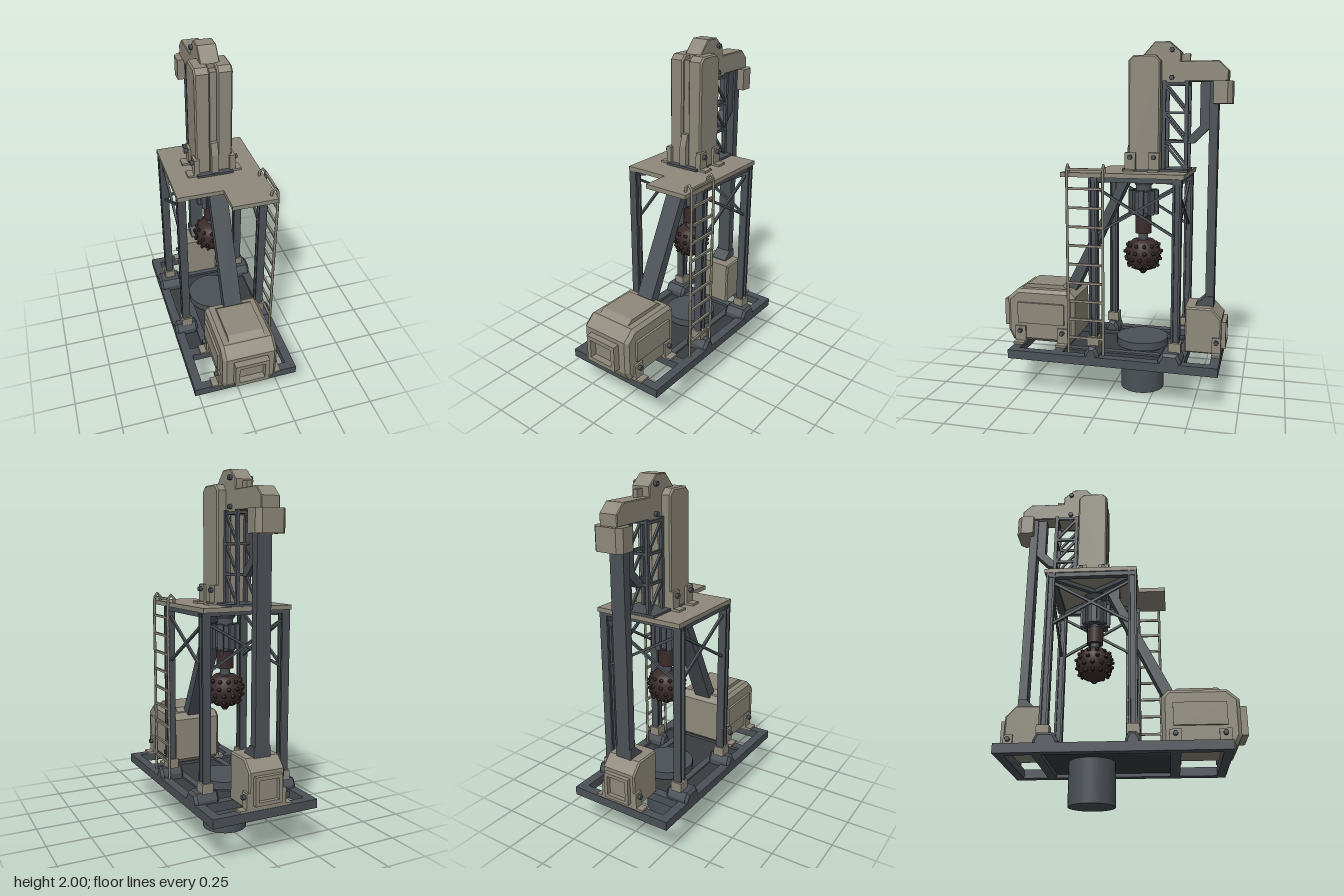
import * as THREE from 'three';

const mat = (name, color) => Object.assign(new THREE.MeshStandardMaterial({ color, side: THREE.DoubleSide }), { name });
const WELL_Z = -0.167;

export function createModel() {
  const beige = mat('beige paint', 0x8e897b);
  const slate = mat('slate steel', 0x4b5157);
  const floor = mat('floor plate', 0x383c40);
  const brown = mat('drill brown', 0x3a2c2b);
  const model = new THREE.Group();
  model.name = 'drillRig';

  const add = (name, geo, m, parent = model) => {
    const mesh = new THREE.Mesh(geo, m);
    mesh.name = name;
    parent.add(mesh);
    return mesh;
  };
  // box given by its limits on each axis
  const box = (name, m, x0, x1, y0, y1, z0, z1) => {
    const b = add(name, new THREE.BoxGeometry(Math.abs(x1 - x0), y1 - y0, Math.abs(z1 - z0)), m);
    b.position.set((x0 + x1) / 2, (y0 + y1) / 2, (z0 + z1) / 2);
    return b;
  };
  const mirrorBox = (name, m, x0, x1, ...rest) => {
    box(name, m, x0, x1, ...rest);
    box(name, m, -x0, -x1, ...rest);
  };
  // (z, y) outline extruded across x, optionally with chamfered side edges
  const profile = (name, m, x0, x1, pts, chamfer = 0) => {
    const shape = new THREE.Shape(pts.map(p => new THREE.Vector2(...p)));
    const g = new THREE.ExtrudeGeometry(shape, {
      depth: x1 - x0 - 2 * chamfer, bevelEnabled: chamfer > 0, bevelSegments: 1,
      bevelThickness: chamfer, bevelSize: chamfer, bevelOffset: -chamfer,
    });
    g.rotateY(-Math.PI / 2).translate(x1 - chamfer, 0, 0);
    return add(name, g, m);
  };
  // square bar between two points
  const bar = (name, m, a, b, w, d = w) => {
    const p = new THREE.Vector3(...a), q = new THREE.Vector3(...b);
    const mesh = add(name, new THREE.BoxGeometry(w, d, p.distanceTo(q)), m);
    mesh.position.copy(p).add(q).multiplyScalar(0.5);
    mesh.lookAt(q);
    return mesh;
  };
  const cyl = (name, m, r, y0, y1, sides = 32, rTop = r) => {
    const c = add(name, new THREE.CylinderGeometry(rTop, r, y1 - y0, sides), m);
    c.position.set(0, (y0 + y1) / 2, WELL_Z);
    return c;
  };
  const bolts = (x, y, z) => {
    for (const s of [1, -1]) {
      const b = add('bolt', new THREE.CylinderGeometry(0.014, 0.014, 0.025, 6), slate);
      b.rotation.z = Math.PI / 2;
      b.position.set(s * x, y, z);
    }
  };
  // mounting foot: ground pad, upright tab and bolt on both sides
  const feet = (x, y, z, w, h) => {
    mirrorBox('footPad', beige, x - 0.02, x + 0.05, y, y + 0.012, z - w / 2, z + w / 2);
    mirrorBox('footTab', beige, x - 0.02, x + 0.012, y, y + h, z - w / 2, z + w / 2);
    bolts(x + 0.018, y + h * 0.75, z);
  };
  // hollow square duct facing along z
  const duct = (name, w, y0, y1, z0, z1, rim) => {
    const s = new THREE.Shape();
    s.moveTo(-w, y0).lineTo(w, y0).lineTo(w, y1).lineTo(-w, y1).closePath();
    const h = new THREE.Path();
    h.moveTo(-w + rim, y0 + rim).lineTo(-w + rim, y1 - rim).lineTo(w - rim, y1 - rim).lineTo(w - rim, y0 + rim).closePath();
    s.holes.push(h);
    add(name, new THREE.ExtrudeGeometry(s, { depth: z1 - z0, bevelEnabled: false }).translate(0, 0, z0), beige);
  };

  // base frame, floor and well pipe
  mirrorBox('baseRail', slate, 0.26, 0.313, 0.215, 0.265, -0.64, 0.565);
  for (const [a, b] of [[-0.64, -0.59], [-0.45, -0.4], [0.25, 0.305], [0.515, 0.565]])
    box('baseCrossBeam', slate, -0.26, 0.26, 0.215, 0.265, a, b);
  box('floorPlate', floor, -0.26, 0.26, 0.235, 0.25, -0.4, 0.25);
  for (const x of [-0.16, 0.16]) box('floorRib', slate, x - 0.02, x + 0.02, 0.235, 0.26, -0.4, 0.25);
  cyl('wellPipe', slate, 0.127, 0, 0.265);
  cyl('wellCollar', slate, 0.152, 0.265, 0.31);

  // legs: footing, shoe, and I-section post
  for (const [z, z0, z1] of [[0.065, 0.025, 0.108], [-0.398, -0.44, -0.31]])
    for (const s of [1, -1]) {
      const f = profile('legFooting', slate, 0.17, 0.313,
        [[z0, 0.25], [z1, 0.25], [z1, 0.28], [z1 - 0.025, 0.32], [z0 + 0.02, 0.32], [z0, 0.28]], 0.015);
      f.scale.x = s;
      box('legShoe', beige, s * 0.205, s * 0.27, 0.315, 0.37, z - 0.034, z + 0.034);
      for (const d of [-0.018, 0.018]) box('legFlange', slate, s * 0.215, s * 0.262, 0.32, 1.27, z + d - 0.006, z + d + 0.006);
      box('legWeb', slate, s * 0.228, s * 0.248, 0.32, 1.27, z - 0.018, z + 0.018);
    }

  // platform with a corner notch, carried on beams
  const deck = new THREE.Shape([[-0.263, 0.435], [0.263, 0.435], [0.263, -0.25], [0, -0.25], [0, -0.09], [-0.263, -0.09]]
    .map(p => new THREE.Vector2(...p)));
  add('platform', new THREE.ExtrudeGeometry(deck, { depth: 0.025, bevelEnabled: false }).rotateX(-Math.PI / 2).translate(0, 1.27, 0), beige);
  mirrorBox('platformBeam', slate, 0.222, 0.255, 1.245, 1.27, -0.42, 0.09);
  box('platformRearBeam', slate, -0.22, 0.22, 1.25, 1.27, -0.42, -0.38);
  for (const s of [1, -1]) for (const z of [0.05, -0.38])
    bar('platformStay', slate, [s * 0.22, 1.25, z], [s * 0.05, 1.25, WELL_Z], 0.025);

  // cross bracing on both sides and the back
  for (const [ya, yb] of [[0.96, 1.21], [1.21, 0.96]]) {
    for (const s of [1, -1]) bar('sideBrace', slate, [s * 0.238, ya, 0.045], [s * 0.238, yb, -0.378], 0.014);
    bar('rearBrace', slate, [-0.22, ya, -0.398], [0.22, yb, -0.398], 0.014);
  }

  // inclined strut from generator to platform
  profile('inclinedStrut', slate, -0.053, 0.053, [[0.3, 0.57], [0.23, 0.57], [-0.095, 1.245], [-0.06, 1.27], [-0.02, 1.27], [-0.02, 1.2]]);

  // ladder with hooked rails
  for (const z of [0.005, 0.208]) {
    const path = new THREE.CatmullRomCurve3([[0.272, 0.265], [0.272, 0.8], [0.272, 1.3], [0.268, 1.325], [0.253, 1.337], [0.238, 1.325], [0.234, 1.29]]
      .map(([x, y]) => new THREE.Vector3(x, y, z)));
    add('ladderRail', new THREE.TubeGeometry(path, 40, 0.008, 6), beige);
  }
  for (let i = 0; i < 10; i++) bar('ladderRung', beige, [0.27, 0.36 + i * 0.106, 0.005], [0.27, 0.36 + i * 0.106, 0.208], 0.013);

  // drive motor hanging under the platform
  cyl('driveMount', slate, 0.05, 1.21, 1.245, 12, 0.07);
  cyl('driveNeck', slate, 0.045, 1.17, 1.27, 16);
  cyl('driveBody', slate, 0.072, 1.05, 1.175, 16);
  for (let i = 0; i < 8; i++) {
    const a = i * Math.PI / 4, c = Math.cos(a), s = Math.sin(a);
    const fin = add('driveFin', new THREE.BoxGeometry(0.03, 0.14, 0.03), slate);
    fin.position.set(c * 0.072, 1.112, WELL_Z + s * 0.072);
    fin.rotation.y = -a;
    if (i % 2) bar('driveRod', slate, [c * 0.055, 1.05, WELL_Z + s * 0.055], [c * 0.035, 0.99, WELL_Z + s * 0.035], 0.009);
  }

  // drill string and studded bit
  cyl('drillChuck', brown, 0.048, 0.93, 1.03, 12);
  cyl('drillShaft', slate, 0.028, 0.86, 1.05, 12);
  const bit = [[0, 0.69], [0.012, 0.69], [0.03, 0.715], [0.06, 0.72], [0.092, 0.755], [0.1, 0.8], [0.1, 0.84], [0.082, 0.87], [0.06, 0.892], [0, 0.892]];
  const head = add('drillBit', new THREE.LatheGeometry(bit.map(p => new THREE.Vector2(...p)), 20), brown);
  head.position.z = WELL_Z;
  for (const [r, y] of [[0.085, 0.742], [0.1, 0.782], [0.104, 0.822], [0.09, 0.862]])
    for (let i = 0; i < 12; i++) {
      const a = (i + (y > 0.8 ? 0.5 : 0)) * Math.PI / 6;
      add('bitStud', new THREE.IcosahedronGeometry(0.013, 0), brown).position.set(r * Math.cos(a), y, WELL_Z + r * Math.sin(a));
    }

  // tower housing: two shells with a groove between
  box('towerBase', slate, -0.105, 0.105, 1.295, 1.308, -0.43, -0.064);
  const tower = [[-0.098, 1.3], [-0.098, 1.9], [-0.125, 1.927], [-0.245, 1.927], [-0.275, 1.895], [-0.275, 1.3]];
  profile('towerShell', beige, 0.02, 0.105, tower, 0.008);
  profile('towerShell', beige, -0.105, -0.02, tower, 0.008);
  box('towerCore', beige, -0.03, 0.03, 1.3, 1.9, -0.265, -0.115);
  profile('towerLatch', beige, -0.02, 0.02, [[-0.12, 1.3], [-0.075, 1.3], [-0.075, 1.42], [-0.095, 1.49], [-0.12, 1.49]]);
  for (const z of [-0.112, -0.245]) feet(0.108, 1.295, z, 0.06, 0.105);

  // lattice mast behind the tower
  for (const s of [1, -1]) {
    const x = s * 0.06;
    for (const z of [-0.29, -0.415]) box('mastPost', slate, x - 0.009, x + 0.009, 1.3, 1.79, z - 0.01, z + 0.01);
    for (let i = 0; i < 3; i++) {
      const y = 1.305 + i * 0.157;
      bar('mastDiagonal', slate, [x, y, -0.415], [x, y + 0.15, -0.29], 0.013);
      bar('mastTie', slate, [x, y + 0.155, -0.29], [x, y + 0.155, -0.415], 0.015);
    }
  }
  for (const y of [1.46, 1.617, 1.775]) bar('mastCrossTie', slate, [-0.06, y, -0.415], [0.06, y, -0.415], 0.015);

  // crown and boom
  profile('crown', beige, -0.053, 0.053,
    [[-0.165, 1.77], [-0.165, 1.925], [-0.235, 2], [-0.315, 2], [-0.378, 1.945], [-0.378, 1.895], [-0.585, 1.895], [-0.637, 1.845], [-0.637, 1.785], [-0.41, 1.785], [-0.385, 1.77]], 0.004);
  box('crownTab', beige, -0.012, 0.012, 1.88, 1.935, -0.425, -0.37);
  for (const y of [1.955, 1.807]) bolts(0.058, y, -0.33);
  const cap = new THREE.Shape([[-0.085, 0.56], [0.085, 0.56], [0.085, 0.635], [0.06, 0.661], [-0.06, 0.661], [-0.085, 0.635]].map(p => new THREE.Vector2(...p)));
  add('boomCap', new THREE.ExtrudeGeometry(cap, { depth: 0.122, bevelEnabled: false }).rotateX(-Math.PI / 2).translate(0, 1.665, 0), beige);

  // rear column and its bent bracket
  box('rearColumn', slate, -0.042, 0.042, 0.53, 1.79, -0.585, -0.537);
  profile('columnFlare', slate, -0.05, 0.05, [[-0.585, 0.52], [-0.485, 0.52], [-0.485, 0.535], [-0.54, 0.585], [-0.585, 0.585]]);
  profile('columnBracket', slate, -0.03, 0.03,
    [[-0.485, 1.79], [-0.485, 1.545], [-0.42, 1.48], [-0.42, 1.45], [-0.455, 1.45], [-0.54, 1.535], [-0.54, 1.79]]);

  // front generator
  profile('generatorBody', beige, -0.16, 0.16,
    [[0.21, 0.3], [0.21, 0.55], [0.245, 0.587], [0.56, 0.587], [0.625, 0.53], [0.625, 0.33], [0.595, 0.272], [0.24, 0.272]], 0.02);
  profile('generatorHood', beige, -0.105, 0.105, [[0.26, 0.58], [0.295, 0.61], [0.515, 0.61], [0.56, 0.58]]);
  mirrorBox('generatorPanel', beige, 0.15, 0.174, 0.385, 0.51, 0.27, 0.555);
  duct('generatorDuct', 0.1, 0.345, 0.505, 0.61, 0.664, 0.025);
  for (const z of [0.54, 0.28]) feet(0.16, 0.265, z, 0.065, 0.1);

  // rear winch housing
  profile('winchHousing', beige, -0.105, 0.105, [[-0.43, 0.265], [-0.43, 0.53], [-0.58, 0.53], [-0.637, 0.47], [-0.637, 0.265]], 0.008);
  duct('winchDuct', 0.08, 0.295, 0.45, -0.661, -0.63, 0.02);
  feet(0.105, 0.265, -0.612, 0.05, 0.1);

  return model;
}
